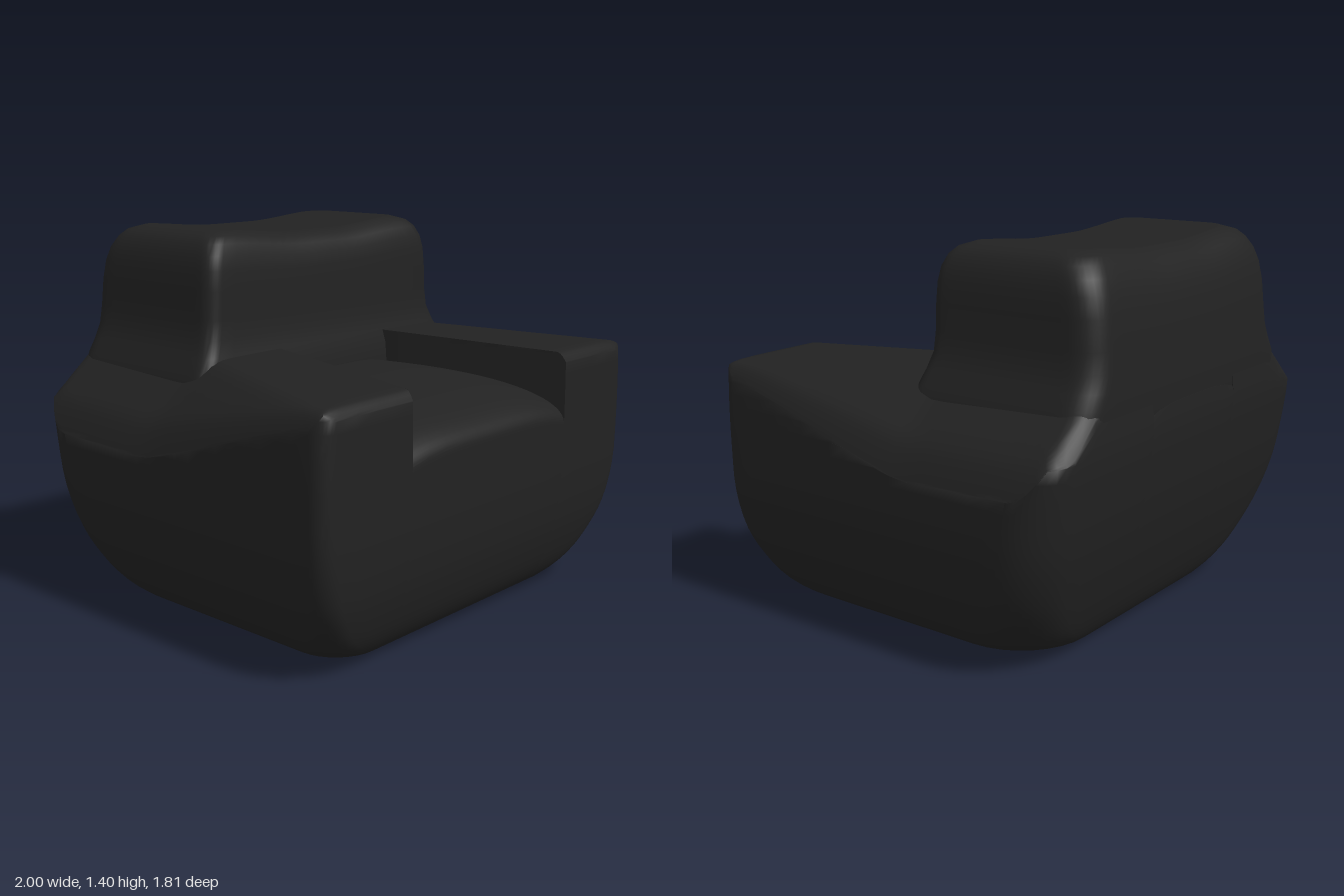
import * as THREE from 'three';
import { toCreasedNormals } from 'three/addons/utils/BufferGeometryUtils.js';

const { clamp, smoothstep } = THREE.MathUtils;
const upholstery = new THREE.MeshStandardMaterial({ color: 0x222222 });
upholstery.name = 'charcoal upholstery';

const HALF = 0.868, FRONT = 0.72, BACK = -0.753;

// Rounded rectangle in plan, evenly resampled along its sides and corners.
function ring({ u, front, back, rf, rb }) {
  const points = [];
  const corners = [[u - rf, front - rf, rf], [-u + rf, front - rf, rf], [-u + rb, back + rb, rb], [u - rb, back + rb, rb]];
  corners.forEach(([cx, cz, r], k) => {
    for (let i = 0; i <= 8; i++) {
      const a = (k + i / 8) * Math.PI / 2;
      points.push([cx + r * Math.cos(a), cz + r * Math.sin(a)]);
    }
    const [x0, z0] = points[points.length - 1];
    const [nx, nz, nr] = corners[(k + 1) % 4];
    const a = (k + 1) * Math.PI / 2;
    const x1 = nx + nr * Math.cos(a), z1 = nz + nr * Math.sin(a);
    for (let i = 1; i < 18; i++) points.push([x0 + (x1 - x0) * i / 18, z0 + (z1 - z0) * i / 18]);
  });
  return points;
}

// Stack the plan sections, close both ends, then shape every vertex by a rule.
function loft(name, sections, shape) {
  const rows = [];
  const cap = (section, scale) => {
    const mid = (section.front + section.back) / 2;
    rows.push(ring(section).map(([x, z]) => [x * scale, section.y, mid + (z - mid) * scale]));
  };
  const last = sections[sections.length - 1];
  cap(sections[0], 0);
  sections.forEach((s) => cap(s, 1));
  for (let i = 29; i >= 0; i--) cap(last, i / 30);

  const n = rows[0].length, index = [];
  for (let j = 0; j < rows.length - 1; j++) {
    for (let i = 0; i < n; i++) {
      const a = j * n + i, b = j * n + (i + 1) % n;
      index.push(a, a + n, b, b, a + n, b + n);
    }
  }
  const geometry = new THREE.BufferGeometry();
  const positions = rows.flat().flatMap((p) => shape(...p));
  geometry.setAttribute('position', new THREE.Float32BufferAttribute(positions, 3));
  geometry.setIndex(index);
  const mesh = new THREE.Mesh(toCreasedNormals(geometry, 0.9), upholstery);
  mesh.name = name;
  return mesh;
}

// Body sections: height, side inset and extra inset at the back.
function bodySections() {
  const curve = new THREE.CatmullRomCurve3([
    [0, 0.32, 0.06], [0.03, 0.215, 0.07], [0.1, 0.13, 0.08], [0.2, 0.07, 0.078],
    [0.3, 0.031, 0.07], [0.45, 0.005, 0.045], [0.62, 0, 0.018], [0.78, 0, 0], [0.91, 0.003, 0.006],
  ].map((p) => new THREE.Vector3(...p)));
  const rows = curve.getPoints(24).map((p) => [Math.max(p.x, 0), p.y, p.z]);
  for (let i = 1; i <= 5; i++) {
    const a = i / 5 * Math.PI / 2;
    rows.push([0.91 + 0.085 * Math.sin(a), 0.003 + 0.05 * (1 - Math.cos(a)), 0.008]);
  }
  return rows.map(([y, inset, lean]) => ({
    y, u: HALF - inset, front: FRONT - inset * 0.62, back: BACK + inset * 0.62 + lean,
    rf: 0.06 + inset * 0.5, rb: 0.165 + inset * 0.5,
  }));
}

export function createModel() {
  const model = new THREE.Group();
  model.name = 'armchair';
  const chair = new THREE.Group();
  chair.name = 'turnedChair';
  chair.rotation.y = 0.252;
  model.add(chair);

  // Inner arm line splays towards the front
  const inner = (z) => 0.28 + 0.21 * Math.max(z + 0.07, 0);

  // Arm top: outer slope widening towards the back, with a rounded rim
  const armTop = (x, z) => {
    const crest = Math.max(0.58, 0.6 + 0.325 * (z + 0.07));
    const over = Math.abs(x) - crest;
    const slope = 0.425 * (over + Math.hypot(over, 0.03));
    const r = 0.04 + 0.035 * smoothstep(-z, -0.6, 0.2);
    const edge = clamp(Math.min(HALF - Math.abs(x), FRONT - z, z - BACK), 0, r);
    return 0.966 - 0.03 * z - slope - (r - edge) ** 2 / r;
  };
  const sections = bodySections();
  for (const side of [1, -1]) {
    chair.add(loft(side > 0 ? 'leftArm' : 'rightArm', sections, (x, y, z) => {
      const px = side * Math.max(side * x, inner(z));
      return [px, Math.min(y, armTop(px, z)), z];
    }));
  }

  // Crowned seat rolls down over the front edge
  chair.add(loft('seat', sections, (x, y, z) => {
    const px = clamp(x, -inner(z), inner(z));
    const t = clamp((z - 0.05) / (FRONT - 0.05), 0, 1);
    const top = 0.7 + 0.165 * (1 - t ** 2.2) ** (1 / 2.2) - 0.025 * (px / inner(z)) ** 4;
    return [px, Math.min(y, top), z];
  }));

  // Backrest: height, half width, front and back
  const backSections = [
    [0.7, 0.7, -0.02, -0.735], [0.85, 0.69, -0.02, -0.747], [0.92, 0.669, -0.025, -0.748],
    [0.97, 0.641, -0.04, -0.745], [1.03, 0.617, -0.054, -0.74], [1.1, 0.608, -0.057, -0.735],
    [1.2, 0.603, -0.057, -0.726], [1.27, 0.597, -0.06, -0.712], [1.32, 0.586, -0.068, -0.693],
    [1.36, 0.567, -0.084, -0.668], [1.385, 0.543, -0.107, -0.643], [1.402, 0.495, -0.15, -0.6],
  ].map(([y, u, front, back]) => ({ y, u, front, back, rf: 0.055, rb: 0.1 }));
  chair.add(loft('backrest', backSections, (x, y, z) => {
    const dip = 0.026 * (1 - smoothstep(Math.abs(x), 0.1, 0.5)) * smoothstep(y, 1.1, 1.4);
    return [x, y - dip, z];
  }));

  return model;
}
